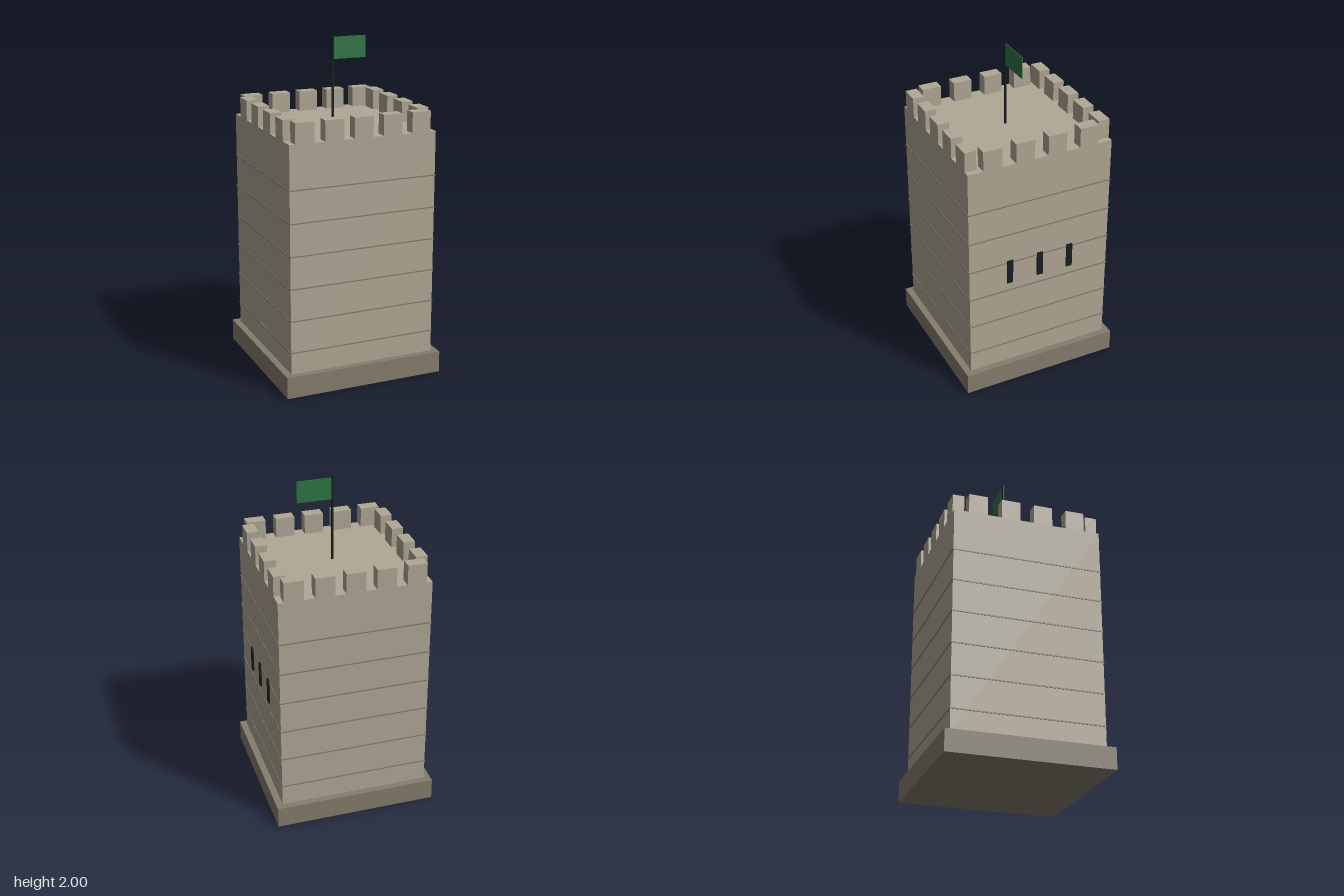
import * as THREE from 'three';

const paint = (name, color) => {
  const m = new THREE.MeshStandardMaterial({ color });
  m.name = name;
  return m;
};

export function createModel() {
  const stone = paint('stone', 0xb0a896);
  const darkStone = paint('dark stone', 0x857d6d);
  const black = paint('black', 0x1c1d20);
  const green = paint('flag green', 0x2f7545);

  const tower = new THREE.Group();
  tower.name = 'tower';

  const add = (name, geometry, material, x, y, z) => {
    const mesh = new THREE.Mesh(geometry, material);
    mesh.name = name;
    mesh.position.set(x, y, z);
    tower.add(mesh);
  };
  const box = (name, material, w, h, d, x, y, z) =>
    add(name, new THREE.BoxGeometry(w, h, d), material, x, y, z);

  const half = 0.45, base = 0.13, top = 1.485;

  // Plinth and shaft
  box('plinth', darkStone, 0.98, base, 0.98, 0, base / 2, 0);
  box('shaft', stone, half * 2, top - base, half * 2, 0, (top + base) / 2, 0);

  // Mortar courses, standing just proud of the walls
  for (let i = 0; i < 6; i++) {
    box('mortarCourse', darkStone, 0.907, 0.007, 0.907, 0, 0.26 + i * 0.193, 0);
  }

  // Battlements: five merlons on front and back, four on each side
  const length = 0.115, height = 0.12, depth = 0.07;
  const y = top + height / 2, edge = half - depth / 2;
  for (const side of [-1, 1]) {
    for (let i = -2; i <= 2; i++) {
      box('merlon', stone, length, height, depth, i * 0.179, y, side * edge);
    }
    for (let i = -1.5; i <= 1.5; i++) {
      box('merlon', stone, depth, height, length, side * edge, y, i * 0.2 - 0.003);
    }
  }

  // Arrow slits on the left wall
  for (const z of [-0.194, 0, 0.194]) {
    box('arrowSlit', black, 0.009, 0.153, 0.037, half + 0.0045, 0.777, z);
  }

  // Flagpole and flag
  add('flagpole', new THREE.CylinderGeometry(0.008, 0.008, 2 - top, 8), black, 0, (2 + top) / 2, 0);
  box('flag', green, 0.208, 0.13, 0.005, 0.106, 1.925, 0);

  return tower;
}
